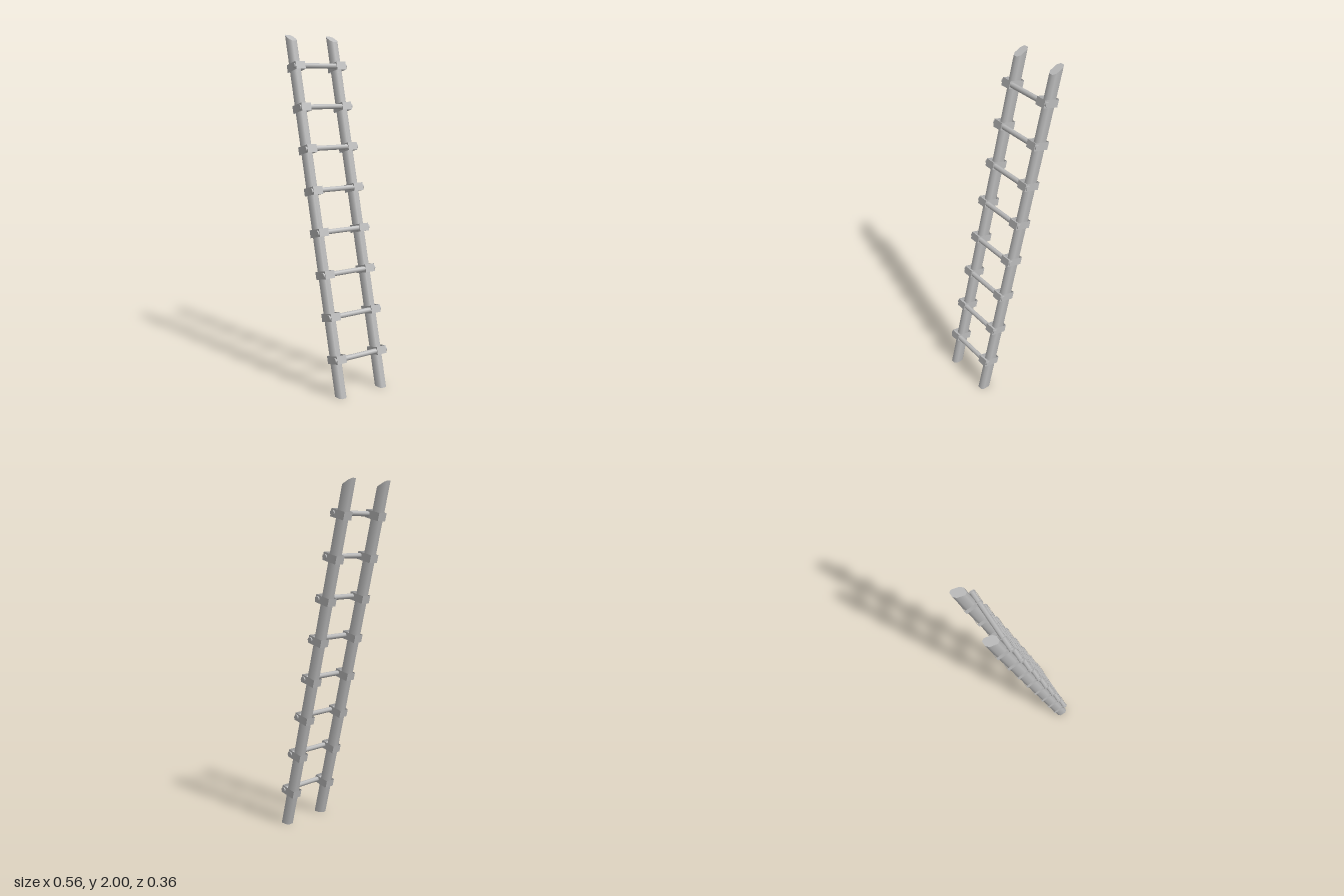
import * as THREE from 'three';

const SLOPE = 0.248;                // sideways lean per unit of height
const LEAN = Math.atan(SLOPE);
const RAIL_Z = 0.141;
const HALF_W = 0.0335, HALF_D = 0.025;

// Chamfered pole, sheared to lean, with a level foot and a slanted top cut
function railGeometry() {
  const cu = 0.014, cv = 0.012;
  const s = new THREE.Shape([
    [HALF_W, -HALF_D + cv], [HALF_W, HALF_D - cv],
    [HALF_W - cu, HALF_D], [-HALF_W + cu, HALF_D],
    [-HALF_W, HALF_D - cv], [-HALF_W, -HALF_D + cv],
    [-HALF_W + cu, -HALF_D], [HALF_W - cu, -HALF_D],
  ].map(([x, y]) => new THREE.Vector2(x, y)));
  const g = new THREE.ExtrudeGeometry(s, { depth: 1, bevelEnabled: false });
  const p = g.attributes.position;
  const section = p.clone();
  for (let i = 0; i < p.count; i++) {
    const u = p.getX(i), v = p.getY(i), t = p.getZ(i);
    const y = t * (2 - 0.52 * (u + HALF_W));
    p.setXYZ(i, 0.248 + u - SLOPE * y, y, -v);
  }
  g.computeVertexNormals();
  // Smooth normals round the sides; the two end cuts stay flat
  const n = new THREE.Vector3();
  for (let i = g.groups[1].start; i < p.count; i++) {
    const nx = section.getX(i) / HALF_W;
    n.set(nx, nx * SLOPE, -section.getY(i) / HALF_D).normalize();
    g.attributes.normal.setXYZ(i, n.x, n.y, n.z);
  }
  return g;
}

// Open rectangular band that loops round a rail and a rung
function lashingGeometry() {
  const r = Math.SQRT1_2;
  const g = new THREE.CylinderGeometry(r, r, 0.045, 4, 1, true).toNonIndexed();
  g.rotateY(Math.PI / 4);
  g.scale(0.097, 1, 0.063);
  g.translate(-0.032, 0, 0);
  g.computeVertexNormals();
  return g;
}

export function createModel() {
  const model = new THREE.Group();
  model.name = 'ladder';
  const grey = new THREE.MeshStandardMaterial({ color: 0xbcbcbc, side: THREE.DoubleSide });
  grey.name = 'grey';

  const add = (name, geometry, x, y, z) => {
    const m = new THREE.Mesh(geometry, grey);
    m.name = name;
    m.position.set(x, y, z);
    model.add(m);
    return m;
  };

  // Two side rails
  const rail = railGeometry();
  add('frontRail', rail, 0, 0, RAIL_Z);
  add('backRail', rail, 0, 0, -RAIL_Z);

  // Eight round rungs, each tied to both rails
  const rung = new THREE.CylinderGeometry(0.0148, 0.0148, 0.36, 8);
  rung.rotateY(Math.PI / 8);
  rung.rotateX(Math.PI / 2);
  const lashing = lashingGeometry();
  for (let i = 0; i < 8; i++) {
    const x = 0.241 - 0.0571 * i, y = 0.215 + 0.23 * i;
    add('rung', rung, x, y, 0).rotation.z = LEAN;
    for (const side of [1, -1]) {
      add('lashing', lashing, x, y, side * (RAIL_Z - 0.001)).rotation.z = LEAN;
    }
  }
  return model;
}
